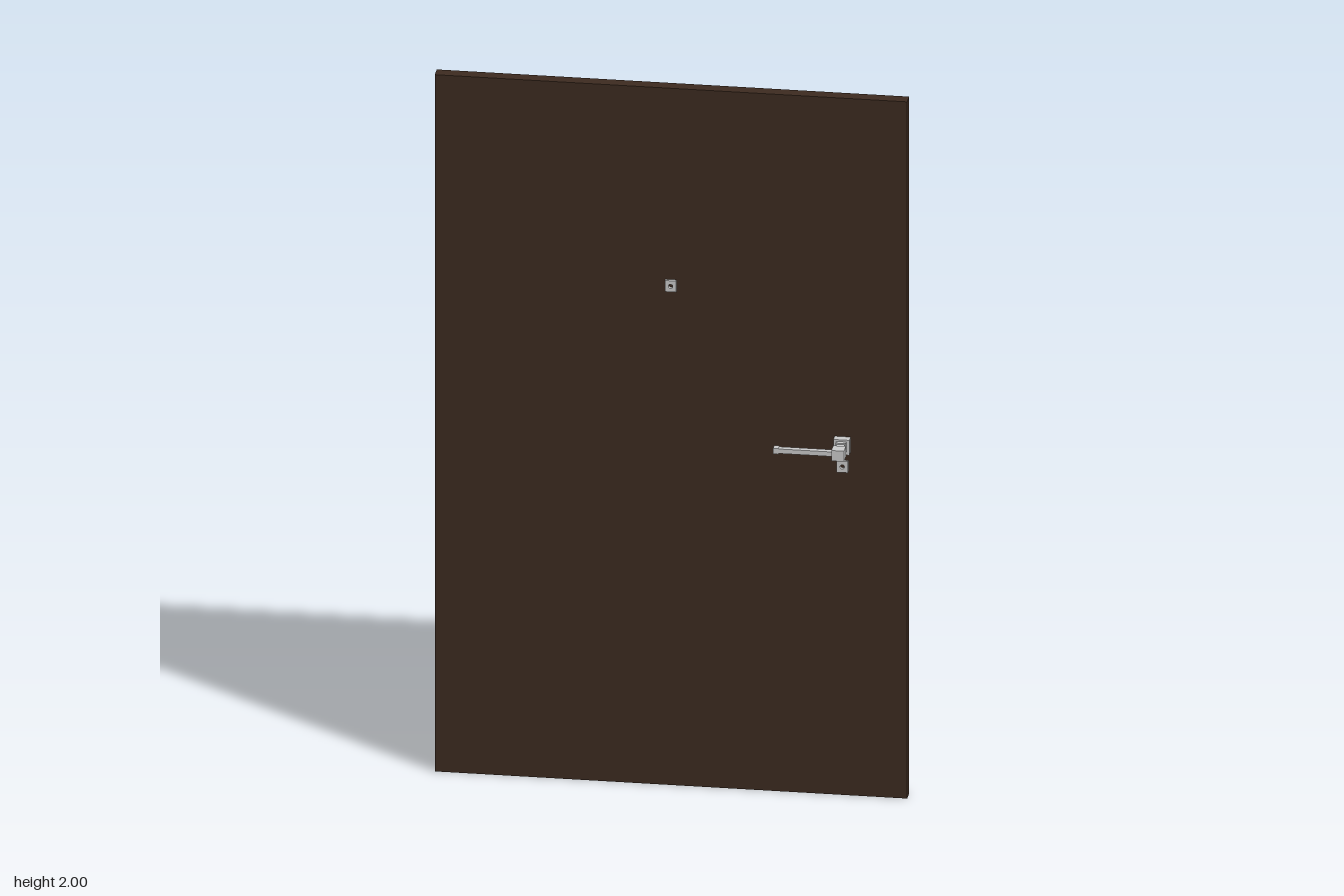
import * as THREE from 'three';

const doorMat = new THREE.MeshStandardMaterial({ color: 0x3d2b20 });
const metal = new THREE.MeshStandardMaterial({ color: 0xcccccc });
const WIDTH = 1.263, HEIGHT = 2, THICK = 0.036;
const HANDLE_X = 0.459;

function box(name, w, h, d, x, y, z, mat = metal) {
  const mesh = new THREE.Mesh(new THREE.BoxGeometry(w, h, d), mat);
  mesh.name = name;
  mesh.position.set(x, y, z);
  return mesh;
}

// Small square plate with a hole, resting on the door face
function holedPlate(name, x, y, w, h, hole) {
  const shape = new THREE.Shape();
  shape.moveTo(-w / 2, -h / 2);
  shape.lineTo(w / 2, -h / 2);
  shape.lineTo(w / 2, h / 2);
  shape.lineTo(-w / 2, h / 2);
  shape.closePath();
  shape.holes.push(new THREE.Path().absarc(0, 0, hole, 0, Math.PI * 2, true));
  const geo = new THREE.ExtrudeGeometry(shape, { depth: 0.009, bevelEnabled: false, curveSegments: 8 });
  const mesh = new THREE.Mesh(geo, metal);
  mesh.name = name;
  mesh.position.set(x, y, THICK / 2);
  return mesh;
}

// All fittings for one face; side is +1 for front, -1 for back
function fittings(side) {
  const g = new THREE.Group();
  g.name = side > 0 ? 'frontFittings' : 'backFittings';
  const hx = HANDLE_X * side;
  const y = 1.01;
  g.add(holedPlate('peephole', 0, 1.435, 0.03, 0.032, 0.006));
  g.add(holedPlate('keyhole', hx, 0.945, 0.03, 0.032, 0.006));

  // Lever handle: rosette, stepped neck, hub, arm and tip
  g.add(box('rosette', 0.043, 0.043, 0.023, hx, y - 0.003, 0.0295));
  g.add(box('neckCollar', 0.027, 0.027, 0.012, hx, y, 0.047));
  g.add(box('neck', 0.021, 0.021, 0.028, hx, y, 0.063));
  g.add(box('hub', 0.034, 0.03, 0.034, hx, y, 0.091));
  g.add(box('lever', 0.15, 0.013, 0.016, hx - side * 0.088, y, 0.09));
  g.add(box('leverTip', 0.014, 0.016, 0.02, hx - side * 0.167, y, 0.09));

  // The back set is the front set turned around
  if (side < 0) g.rotation.y = Math.PI;
  return g;
}

export function createModel() {
  const model = new THREE.Group();
  model.name = 'door';
  const leaf = new THREE.Group();
  leaf.name = 'doorLeaf';
  leaf.add(box('panel', WIDTH, HEIGHT, THICK, 0, HEIGHT / 2, 0, doorMat));
  leaf.add(fittings(1), fittings(-1));

  // The leaf stands at an angle
  leaf.rotation.y = THREE.MathUtils.degToRad(-36.4);
  model.add(leaf);
  return model;
}
